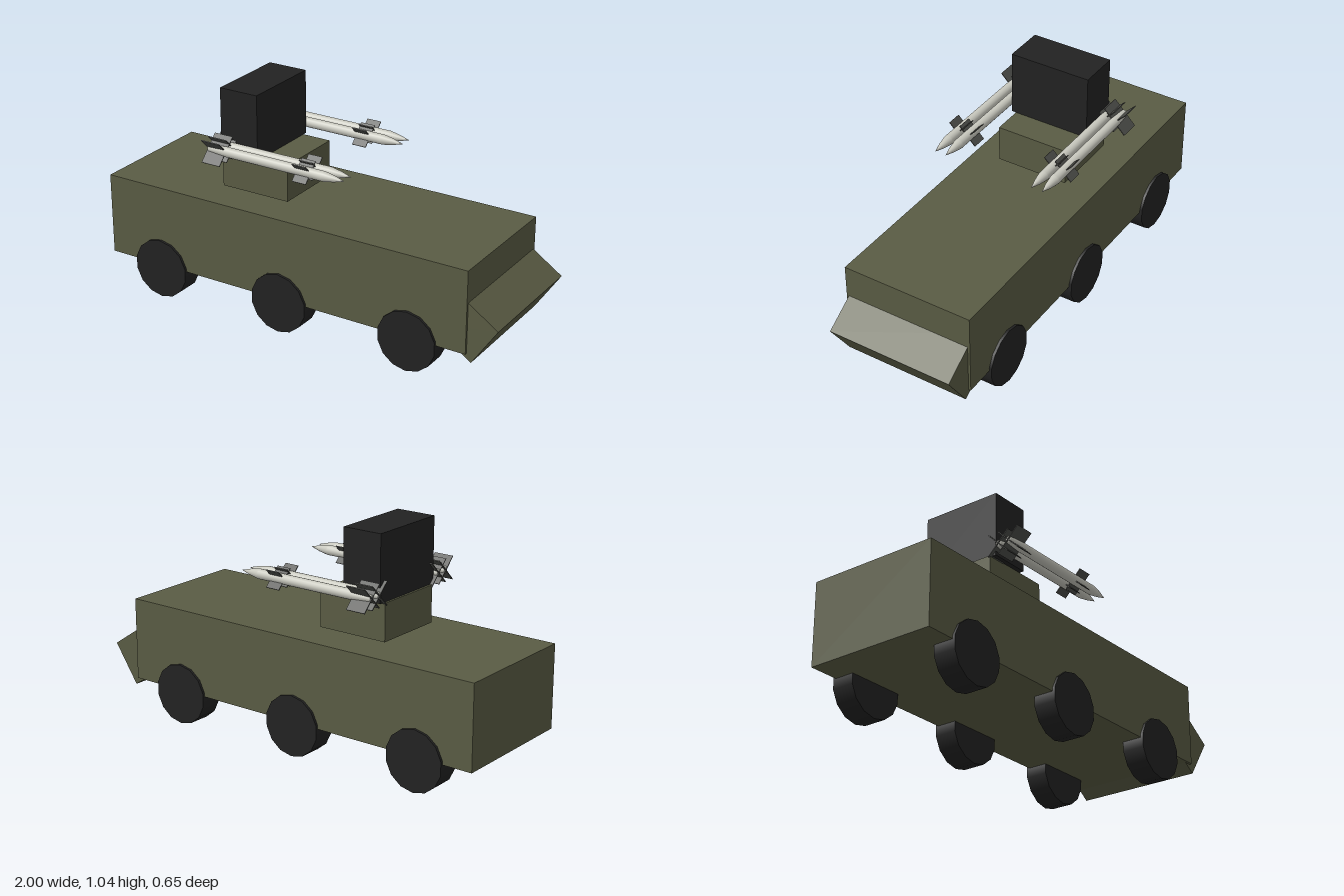
import * as THREE from 'three';

const mat = (color, side = THREE.FrontSide) => new THREE.MeshStandardMaterial({ color, side });

export function createModel() {
  const model = new THREE.Group();
  const olive = mat(0x5a5c44);
  const black = mat(0x222222);
  const pale = mat(0xc8c8be);
  const finGrey = mat(0x4c4d49);

  const add = (parent, name, geometry, material, x = 0, y = 0, z = 0) => {
    const mesh = new THREE.Mesh(geometry, material);
    mesh.name = name;
    mesh.position.set(x, y, z);
    parent.add(mesh);
    return mesh;
  };
  // Box given by its x and y limits and its width across z
  const box = (name, x0, x1, y0, y1, width, material) =>
    add(model, name, new THREE.BoxGeometry(x1 - x0, y1 - y0, width), material, (x0 + x1) / 2, (y0 + y1) / 2);

  box('hull', -1, 0.856, 0.156, 0.543, 0.626, olive);
  box('turret', -0.46, -0.116, 0.565, 0.737, 0.346, olive);
  box('radarHousing', -0.45, -0.257, 0.737, 1.04, 0.39, black);

  // Tilted nose block, its rear sunk into the hull
  const nose = new THREE.Shape([
    new THREE.Vector2(0.998, 0.297),
    new THREE.Vector2(0.804, 0.427),
    new THREE.Vector2(0.684, 0.248),
    new THREE.Vector2(0.878, 0.118),
  ]);
  const noseGeometry = new THREE.ExtrudeGeometry(nose, { depth: 0.604, bevelEnabled: false });
  add(model, 'nose', noseGeometry, olive, 0, 0, -0.302);

  // Three wheels on each side
  const wheelGeometry = new THREE.CylinderGeometry(0.1415, 0.1415, 0.107, 14).rotateX(Math.PI / 2);
  for (const x of [-0.72, -0.073, 0.578])
    for (const side of [-1, 1]) add(model, 'wheel', wheelGeometry, black, x, 0.1415, side * 0.2715);

  // Missile profile turned about the x axis, from tail to tip
  const profile = [[0, -0.46], [0.016, -0.46], [0.023, -0.37], [0.023, -0.369], [0.023, 0.135],
    [0.023, 0.14], [0.014, 0.19], [0, 0.24]].map(([r, x]) => new THREE.Vector2(r, x));
  const bodyGeometry = new THREE.LatheGeometry(profile, 16).rotateZ(-Math.PI / 2);

  const missile = (z) => {
    const group = new THREE.Group();
    group.name = 'missile';
    group.position.set(0, 0.781, z);
    add(group, 'missileBody', bodyGeometry, pale);
    // Two crossed plates make four diagonal fins
    for (const [name, x0, x1, reach] of [['tailFins', -0.465, -0.37, 0.074], ['midFins', 0, 0.07, 0.056]])
      for (const turn of [-1, 1]) {
        const plate = new THREE.BoxGeometry(x1 - x0, reach * 2, 0.004);
        add(group, name, plate, finGrey, (x0 + x1) / 2).rotation.x = (turn * Math.PI) / 4;
      }
    model.add(group);
  };
  for (const z of [-0.272, -0.218, 0.218, 0.272]) missile(z);

  return model;
}
